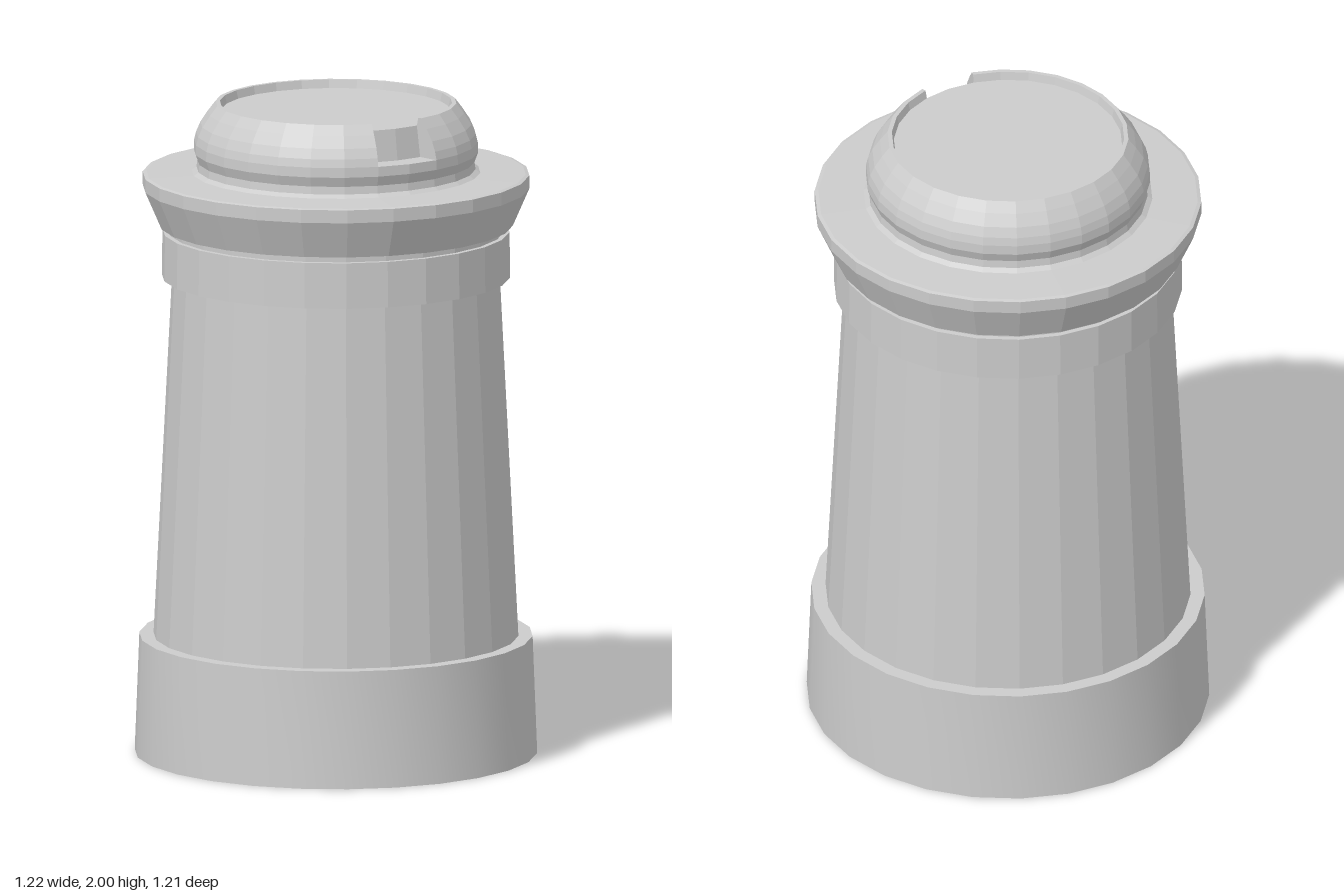
import * as THREE from 'three';
import { toCreasedNormals } from 'three/addons/utils/BufferGeometryUtils.js';

const SIDES = 26;
const STEP = (Math.PI * 2) / SIDES;
const NOTCH = 2; // sides cut away by the notch

const flat = new THREE.MeshStandardMaterial({ color: 0xcccccc, flatShading: true });
const smooth = new THREE.MeshStandardMaterial({ color: 0xcccccc });
const thin = new THREE.MeshStandardMaterial({ color: 0xcccccc, side: THREE.DoubleSide });

const points = (list) => list.map(([r, y]) => new THREE.Vector2(r, y));

// Turned part from a bottom-to-top profile of [radius, height]
function turned(name, profile, material = flat, start = 0, sides = SIDES) {
  let geometry = new THREE.LatheGeometry(points(profile), sides, Math.PI / 2 + start * STEP, sides * STEP);
  if (material === smooth) geometry = toCreasedNormals(geometry, 0.4);
  const mesh = new THREE.Mesh(geometry, material);
  mesh.name = name;
  return mesh;
}

export function createModel() {
  const model = new THREE.Group();
  model.name = 'pedestal';

  // Plinth and shaft
  model.add(turned('base', [[0, 0], [0.61, 0], [0.596, 0.36], [0.55, 0.36]], smooth));
  model.add(turned('shaft', [[0.553, 0.36], [0.497, 1.465]]));

  // Collar and flared flange
  model.add(turned('collar', [[0.49, 1.465], [0.528, 1.465], [0.526, 1.605], [0.51, 1.605], [0.51, 1.625]]));
  model.add(turned('flange', [[0.51, 1.625], [0.536, 1.625], [0.586, 1.74], [0.586, 1.78], [0.575, 1.783], [0.43, 1.787]]));

  // Domed cap with a raised rim, open over the notch
  const lower = [[0.44, 1.785], [0.423, 1.797], [0.42, 1.82], [0.431, 1.85], [0.43, 1.88]];
  const upper = [[0.424, 1.905], [0.411, 1.935], [0.388, 1.97], [0.365, 2], [0.352, 2], [0.346, 1.975]];
  const wall = [[0.36, 1.88], [0.346, 1.975]];
  const cap = new THREE.Group();
  cap.name = 'cap';
  cap.add(turned('dome', [...lower, ...upper, [0, 1.975]], flat, 0, SIDES - NOTCH));
  cap.add(turned('notch', [...lower, ...wall, [0, 1.975]], flat, -NOTCH, NOTCH));

  // Radial end faces of the notch
  const section = new THREE.Shape(points([[0.43, 1.88], ...upper, wall[0]]));
  for (const turn of [0, -NOTCH]) {
    const end = new THREE.Mesh(new THREE.ShapeGeometry(section), thin);
    end.name = 'notchEnd';
    end.rotation.y = turn * STEP;
    cap.add(end);
  }
  model.add(cap);
  return model;
}
